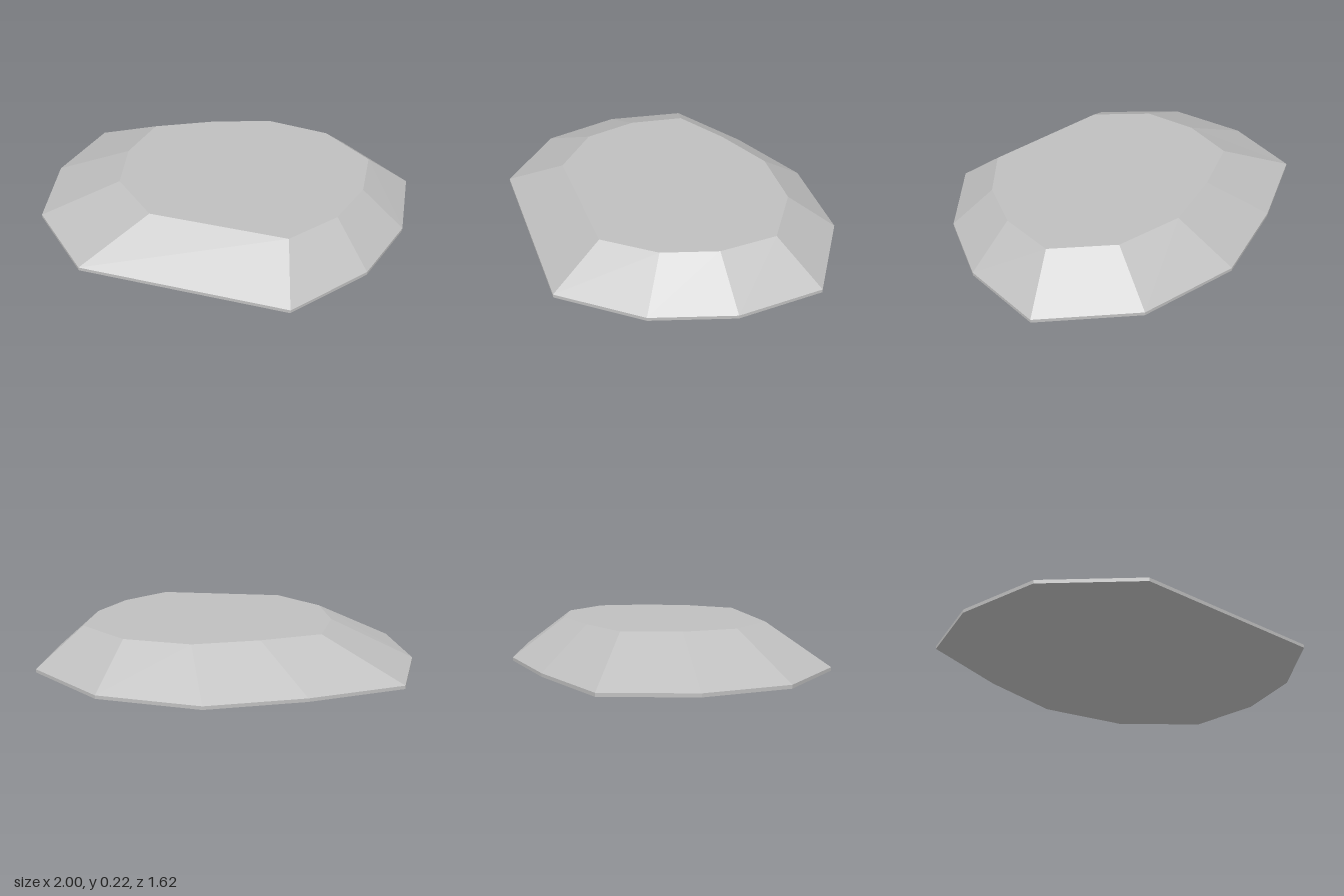
import * as THREE from 'three';

// Outlines as [x, z], running clockwise seen from above
const RIM = [
  [0.03, -0.81], [0.56, -0.74], [0.98, -0.42], [1.0, 0.03], [0.865, 0.43], [0.56, 0.795],
  [-0.51, 0.805], [-0.89, 0.47], [-1.0, 0.03], [-0.92, -0.42], [-0.45, -0.65],
];
const PLATEAU = [
  [0.13, -0.525], [0.485, -0.48], [0.76, -0.27], [0.77, 0.03], [0.68, 0.3], [0.485, 0.535],
  [-0.225, 0.54], [-0.48, 0.32], [-0.55, 0.03], [-0.5, -0.27], [-0.2, -0.415],
];

const atHeight = (outline, y) => outline.map(([x, z]) => [x, y, z]);

function facetedMesh(name, triangles, material) {
  const geometry = new THREE.BufferGeometry();
  geometry.setAttribute('position', new THREE.Float32BufferAttribute(triangles.flat(), 3));
  geometry.computeVertexNormals();
  const mesh = new THREE.Mesh(geometry, material);
  mesh.name = name;
  return mesh;
}

// Ring of flat facets between two matching loops
function band(lower, upper) {
  const out = [];
  lower.forEach((a, i) => {
    const j = (i + 1) % lower.length;
    out.push(lower[j], a, upper[i], lower[j], upper[i], upper[j]);
  });
  return out;
}

// Flat fan closing a loop, facing up or down
function cap(loop, up) {
  const out = [];
  for (let i = 1; i < loop.length - 1; i++) {
    out.push(loop[0], ...(up ? [loop[i + 1], loop[i]] : [loop[i], loop[i + 1]]));
  }
  return out;
}

export function createModel() {
  const group = new THREE.Group();
  group.name = 'flatStone';
  const stone = new THREE.MeshStandardMaterial({ color: 0xbfbfbf });
  stone.name = 'stone grey';

  const base = atHeight(RIM, 0);
  const rim = atHeight(RIM, 0.018);
  const top = atHeight(PLATEAU, 0.222);

  group.add(
    facetedMesh('underside', cap(base, false), stone),
    facetedMesh('baseRim', band(base, rim), stone),
    facetedMesh('slopedSides', band(rim, top), stone),
    facetedMesh('flatTop', cap(top, true), stone),
  );
  return group;
}
